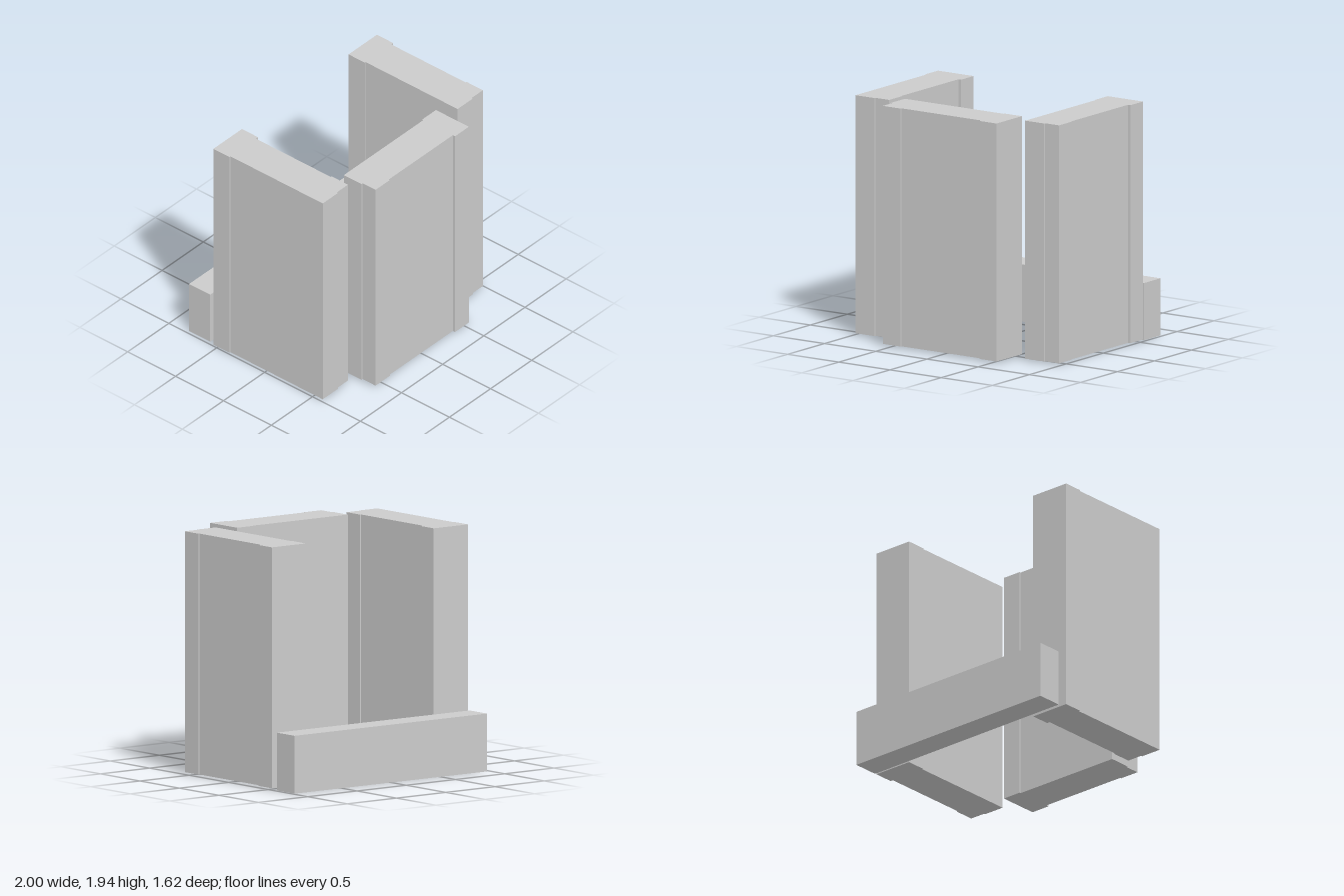
import * as THREE from 'three';

const material = new THREE.MeshStandardMaterial({ color: 0xcccccc, flatShading: true });

// Upright block from a plan outline of [x, z] corners.
function block(name, outline, bottom, top) {
  const shape = new THREE.Shape(outline.map(([x, z]) => new THREE.Vector2(x, z)));
  const geometry = new THREE.ExtrudeGeometry(shape, { depth: top - bottom, bevelEnabled: false });
  geometry.rotateX(Math.PI / 2).translate(0, top, 0);
  const mesh = new THREE.Mesh(geometry, material);
  mesh.name = name;
  return mesh;
}

export function createModel() {
  const model = new THREE.Group();
  model.name = 'wallEnclosure';
  const bottom = 0.015, top = 1.943;

  // Side walls: a wide pier at the back end, a stepped pier at the front end
  model.add(block('rightWall', [
    [-1, -0.535], [-0.652, -0.535], [-0.652, -0.367], [-0.678, -0.367],
    [-0.678, 0.415], [-0.668, 0.415], [-0.668, 0.585], [-0.803, 0.585],
    [-0.803, 0.597], [-0.988, 0.597], [-0.988, -0.367], [-1, -0.367],
  ], bottom, top));
  model.add(block('leftWall', [
    [0.652, -0.543], [0.997, -0.543], [0.997, -0.373], [0.973, -0.373],
    [0.973, 0.405], [0.983, 0.405], [0.983, 0.575], [0.847, 0.575],
    [0.847, 0.587], [0.662, 0.587], [0.662, -0.373], [0.652, -0.373],
  ], bottom, top));

  // Front wall with its pier on the left end
  model.add(block('frontWall', [
    [-0.592, 0.477], [0.374, 0.477], [0.374, 0.465], [0.541, 0.465],
    [0.541, 0.808], [0.374, 0.808], [0.374, 0.785], [-0.405, 0.785],
    [-0.405, 0.796], [-0.578, 0.796], [-0.578, 0.66], [-0.592, 0.66],
  ], bottom, top));

  // Low back wall, turned very slightly in plan
  model.add(block('backWall', [
    [-0.972, -0.812], [0.978, -0.805], [0.978, -0.582], [-0.972, -0.592],
  ], 0, 0.463));

  return model;
}
